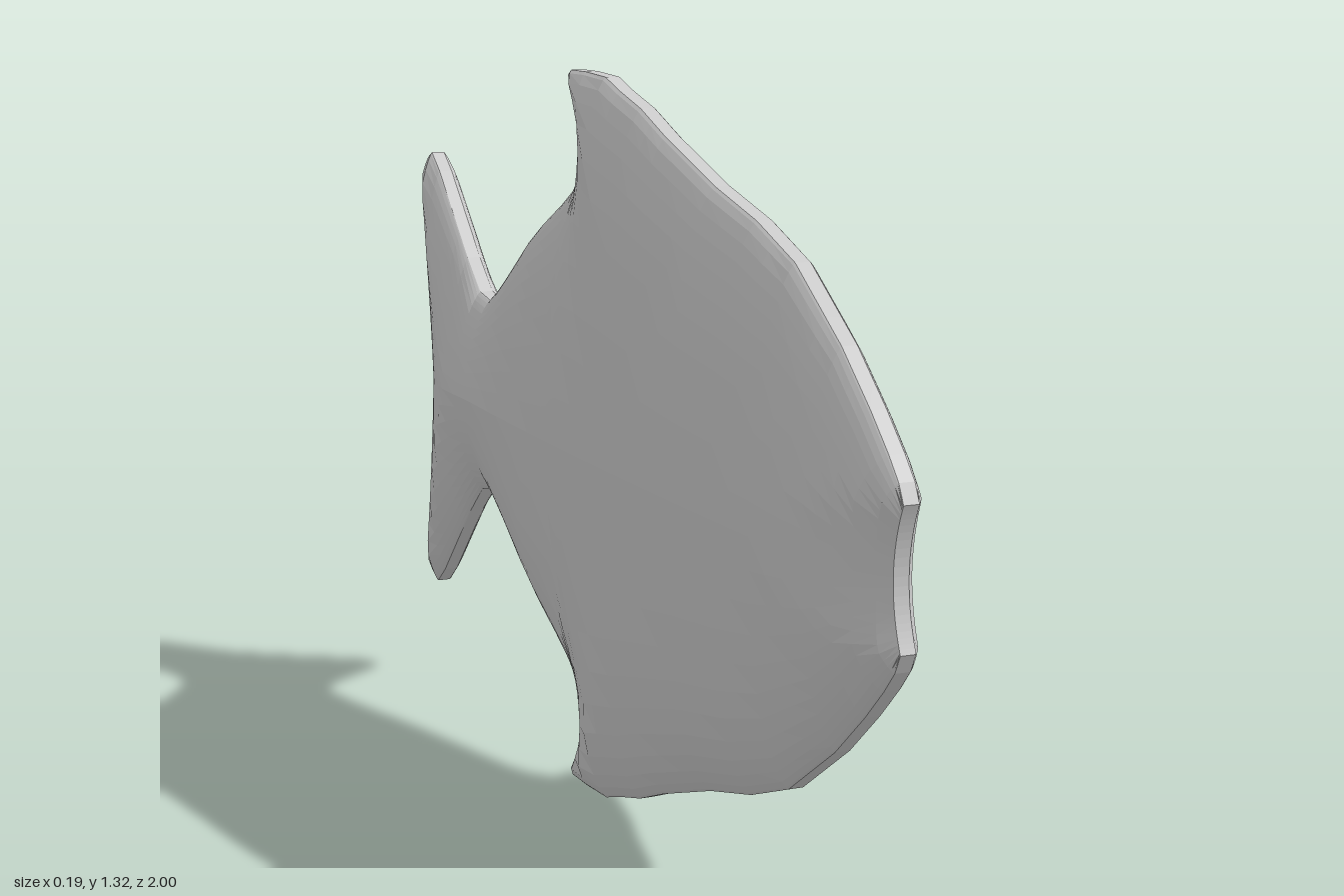
import * as THREE from 'three';

const MID = 0.66;   // height of the fish's centre line
const HALF = 12;    // rows from centre line to edge

// Cross-sections nose to tail: [edge z, edge y, centre-line z, bend exponent]
const KEYS = [
  // mouth and forehead
  [1.0, 0.77, 0.975, 2], [0.985, 0.80, 0.955, 2.5], [0.955, 0.835, 0.92, 4],
  [0.90, 0.89, 0.88, 5], [0.81, 0.97, 0.81, 6], [0.66, 1.075, 0.66, 8],
  [0.53, 1.125, 0.53, 8], [0.38, 1.165, 0.38, 8], [0.19, 1.23, 0.20, 8],
  [0.09, 1.27, 0.10, 8], [0.0, 1.295, 0.02, 8], [-0.06, 1.315, -0.04, 8],
  // back-swept fin tip and notch
  [-0.15, 1.32, -0.09, 8], [-0.215, 1.32, -0.11, 8], [-0.23, 1.31, -0.12, 8],
  [-0.20, 1.28, -0.132, 8], [-0.165, 1.22, -0.145, 8], [-0.16, 1.16, -0.155, 8],
  [-0.18, 1.12, -0.175, 8],
  // rear body and tail stalk
  [-0.25, 1.08, -0.25, 8], [-0.35, 1.03, -0.35, 8], [-0.42, 0.99, -0.42, 8],
  [-0.52, 0.92, -0.52, 8], [-0.58, 0.88, -0.58, 6], [-0.635, 0.85, -0.63, 5],
  [-0.69, 0.86, -0.68, 4], [-0.76, 0.92, -0.745, 4],
  // tail fin
  [-0.85, 1.01, -0.82, 3], [-0.92, 1.08, -0.875, 2.5], [-0.965, 1.115, -0.905, 2],
  [-0.985, 1.105, -0.923, 1.6], [-1.0, 1.07, -0.935, 1.3],
];

// Halve the long gaps between key sections
function subdivide(keys) {
  const out = [keys[0]];
  for (let i = 1; i < keys.length; i++) {
    const a = keys[i - 1], b = keys[i];
    const n = Math.max(1, Math.round(Math.hypot(a[0] - b[0], a[1] - b[1]) / 0.065));
    for (let k = 1; k <= n; k++) out.push(a.map((v, c) => v + (b[c] - v) * k / n));
  }
  return out;
}

// Side-view column of points for one section, bottom edge to top edge
function column([ze, ye, zm, p]) {
  const pts = [];
  for (let k = -HALF; k <= HALF; k++) {
    const v = Math.sin((Math.PI / 2) * k / HALF);
    pts.push(new THREE.Vector2(zm + (ze - zm) * Math.abs(v) ** p, MID + v * (ye - MID)));
  }
  return pts;
}

function distanceToOutline(p, outline) {
  let best = Infinity;
  outline.forEach((a, i) => {
    const b = outline[(i + 1) % outline.length];
    const dx = b.x - a.x, dy = b.y - a.y;
    const len = dx * dx + dy * dy || 1e-9;
    const t = THREE.MathUtils.clamp(((p.x - a.x) * dx + (p.y - a.y) * dy) / len, 0, 1);
    best = Math.min(best, Math.hypot(p.x - a.x - t * dx, p.y - a.y - t * dy));
  });
  return best;
}

// Thin at the rim, swelling quickly to a nearly flat flank
const halfWidth = (d) => 0.013 + 0.084 * (1 - Math.exp(-((d / 0.12) ** 0.85)));

function fishGeometry() {
  const cols = subdivide(KEYS).map(column);
  const rows = 2 * HALF + 1, ring = 2 * rows, last = cols.length - 1;
  const outline = [
    ...cols.map((c) => c[rows - 1]),
    ...cols[last].slice(1, -1).reverse(),
    ...cols.map((c) => c[0]).reverse(),
    ...cols[0].slice(1, -1),
  ];

  // Each ring climbs the left flank and comes down the right one
  const pos = [], index = [];
  for (const col of cols) {
    const w = col.map((p) => halfWidth(distanceToOutline(p, outline)));
    for (let j = 0; j < rows; j++) pos.push(w[j], col[j].y, col[j].x);
    for (let j = rows - 1; j >= 0; j--) pos.push(-w[j], col[j].y, col[j].x);
  }
  for (let i = 0; i < last; i++) {
    for (let j = 0; j < ring; j++) {
      const a = i * ring + j, b = i * ring + (j + 1) % ring;
      index.push(a, a + ring, b, b, a + ring, b + ring);
    }
  }
  // Narrow strips close the mouth and the tail's rear edge
  for (let j = 0; j < rows - 1; j++) {
    const a = j, b = j + 1, c = ring - 2 - j, d = ring - 1 - j, o = last * ring;
    index.push(a, b, c, a, c, d, o + a, o + c, o + b, o + a, o + d, o + c);
  }

  const geo = new THREE.BufferGeometry();
  geo.setAttribute('position', new THREE.Float32BufferAttribute(pos, 3));
  geo.setIndex(index);
  geo.computeVertexNormals();
  return geo;
}

export function createModel() {
  const group = new THREE.Group();
  group.name = 'fish';
  const body = new THREE.Mesh(
    fishGeometry(),
    new THREE.MeshStandardMaterial({ color: 0xcccccc, flatShading: true })
  );
  body.name = 'fishBody';
  group.add(body);
  return group;
}
